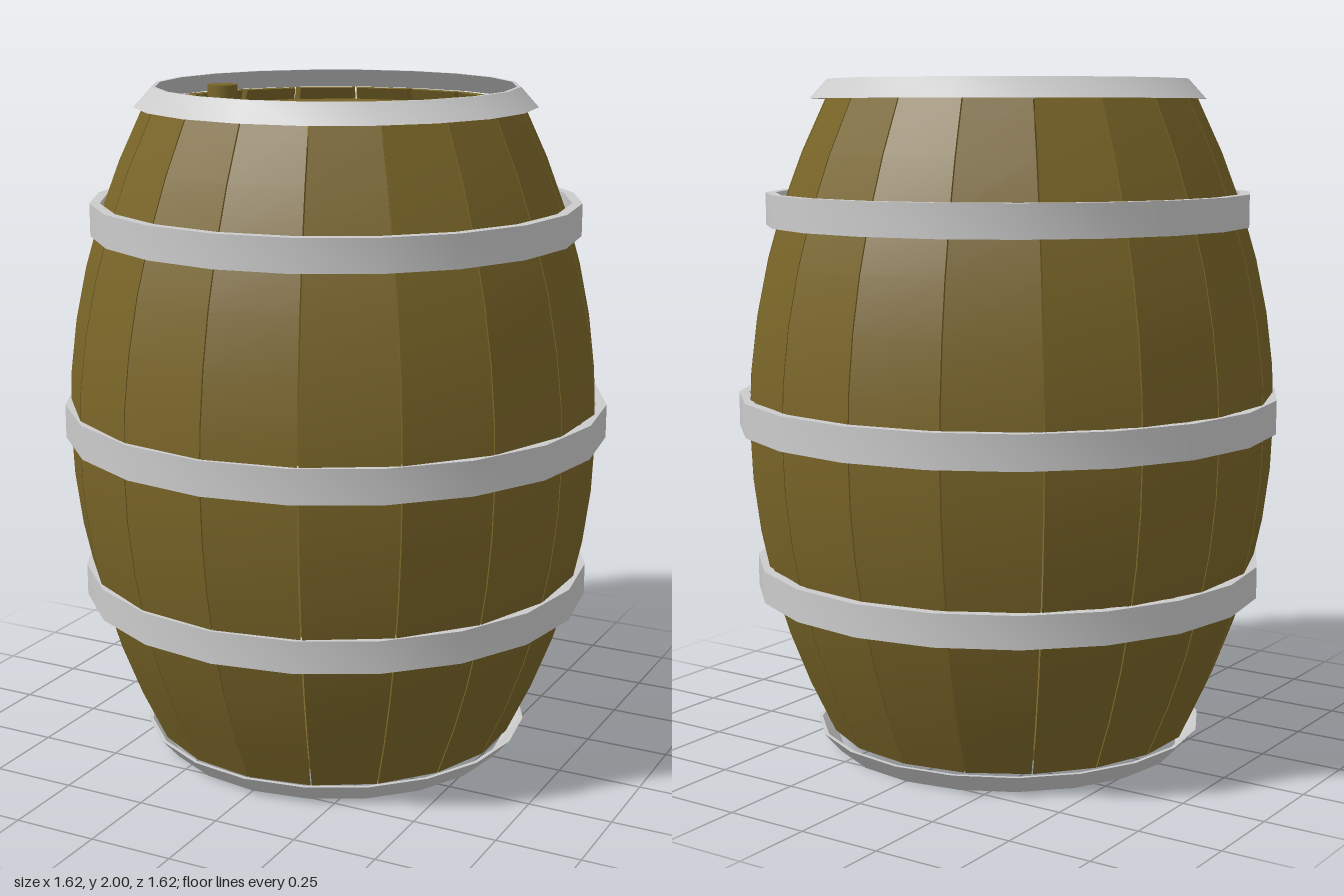
import * as THREE from 'three';
import { toCreasedNormals } from 'three/addons/utils/BufferGeometryUtils.js';

const STAVES = 18;
const HOOP_SIDES = 20;
const wood = new THREE.MeshStandardMaterial({ color: 0x796528 });
const metal = new THREE.MeshStandardMaterial({ color: 0xcccccc });

// bulging profile of the barrel: distance from the axis to a stave's outer face
const bulge = (y) => 0.78 - 0.265 * (y - 1) ** 2;

function addMesh(parent, name, geometry, material) {
  const mesh = new THREE.Mesh(geometry, material);
  mesh.name = name;
  parent.add(mesh);
  return mesh;
}

// one curved plank, flat across, narrower towards both ends and the inside
function staveGeometry() {
  const thickness = 0.04, bottom = 0.055, top = 1.945;
  const geo = new THREE.BoxGeometry(2, top - bottom, 1, 1, 12, 1);
  geo.translate(0, 1, 0);
  const pos = geo.attributes.position;
  const slope = Math.tan(Math.PI / STAVES);
  for (let i = 0; i < pos.count; i++) {
    const y = pos.getY(i);
    const outer = pos.getZ(i) > 0;
    const r = bulge(y) - (outer ? 0 : thickness);
    const half = r * slope - (outer ? 0.002 : 0.009);
    pos.setXYZ(i, Math.sign(pos.getX(i)) * half, y, r);
  }
  return toCreasedNormals(geo, 0.6);
}

// ring with a four-cornered section, given bottom and top radius
function hoopGeometry(y0, y1, r0, r1, thickness) {
  const section = [
    [r0, y0], [r1, y1], [r1 - thickness, y1], [r0 - thickness, y0], [r0, y0],
  ].map(([r, y]) => new THREE.Vector2(r, y));
  return toCreasedNormals(new THREE.LatheGeometry(section, HOOP_SIDES), 0.6);
}

// slice of a disc between two z positions, lying flat on y = 0
function plankGeometry(z0, z1, radius, thickness) {
  const steps = 8, right = [], left = [];
  for (let i = 0; i <= steps; i++) {
    const z = z0 + ((z1 - z0) * i) / steps;
    const x = Math.sqrt(Math.max(radius * radius - z * z, 1e-6));
    right.push(new THREE.Vector2(x, -z));
    left.unshift(new THREE.Vector2(-x, -z));
  }
  const geo = new THREE.ExtrudeGeometry(new THREE.Shape([...right, ...left]), {
    depth: thickness, bevelEnabled: false,
  });
  return geo.rotateX(-Math.PI / 2);
}

// round end made of five boards with open slits
function makeLid(name, y) {
  const lid = new THREE.Group();
  lid.name = name;
  const radius = 0.53, gap = 0.006;
  const cuts = [-radius, -0.365, -0.12, 0.125, 0.37, radius];
  for (let i = 0; i < cuts.length - 1; i++) {
    const z0 = i === 0 ? cuts[i] : cuts[i] + gap;
    const z1 = i === cuts.length - 2 ? cuts[i + 1] : cuts[i + 1] - gap;
    addMesh(lid, 'lidBoard', plankGeometry(z0, z1, radius, 0.03), wood);
  }
  lid.position.y = y;
  return lid;
}

export function createModel() {
  const barrel = new THREE.Group();
  barrel.name = 'barrel';

  // staves around the body, with a seam at the front
  const staves = new THREE.Group();
  staves.name = 'staves';
  const staveGeo = staveGeometry();
  for (let i = 0; i < STAVES; i++) {
    addMesh(staves, 'stave', staveGeo, wood).rotation.y = ((i + 0.5) / STAVES) * Math.PI * 2;
  }
  staves.position.z = 0.01;
  barrel.add(staves);

  // lids and the bung on the upper one
  barrel.add(makeLid('topLid', 1.88), makeLid('bottomLid', 0.09));
  const bung = addMesh(barrel, 'bung', new THREE.CylinderGeometry(0.045, 0.045, 0.09, 20), wood);
  bung.position.set(-0.38, 1.94, 0);

  // metal hoops and the sloping end rims
  addMesh(barrel, 'lowerHoop', hoopGeometry(0.48, 0.575, 0.762, 0.762, 0.03), metal);
  addMesh(barrel, 'middleHoop', hoopGeometry(0.975, 1.075, 0.81, 0.81, 0.03), metal);
  addMesh(barrel, 'upperHoop', hoopGeometry(1.575, 1.67, 0.72, 0.72, 0.03), metal);
  addMesh(barrel, 'topRim', hoopGeometry(1.943, 2, 0.587, 0.535, 0.012), metal);
  addMesh(barrel, 'bottomRim', hoopGeometry(0, 0.06, 0.535, 0.587, 0.012), metal);

  return barrel;
}
